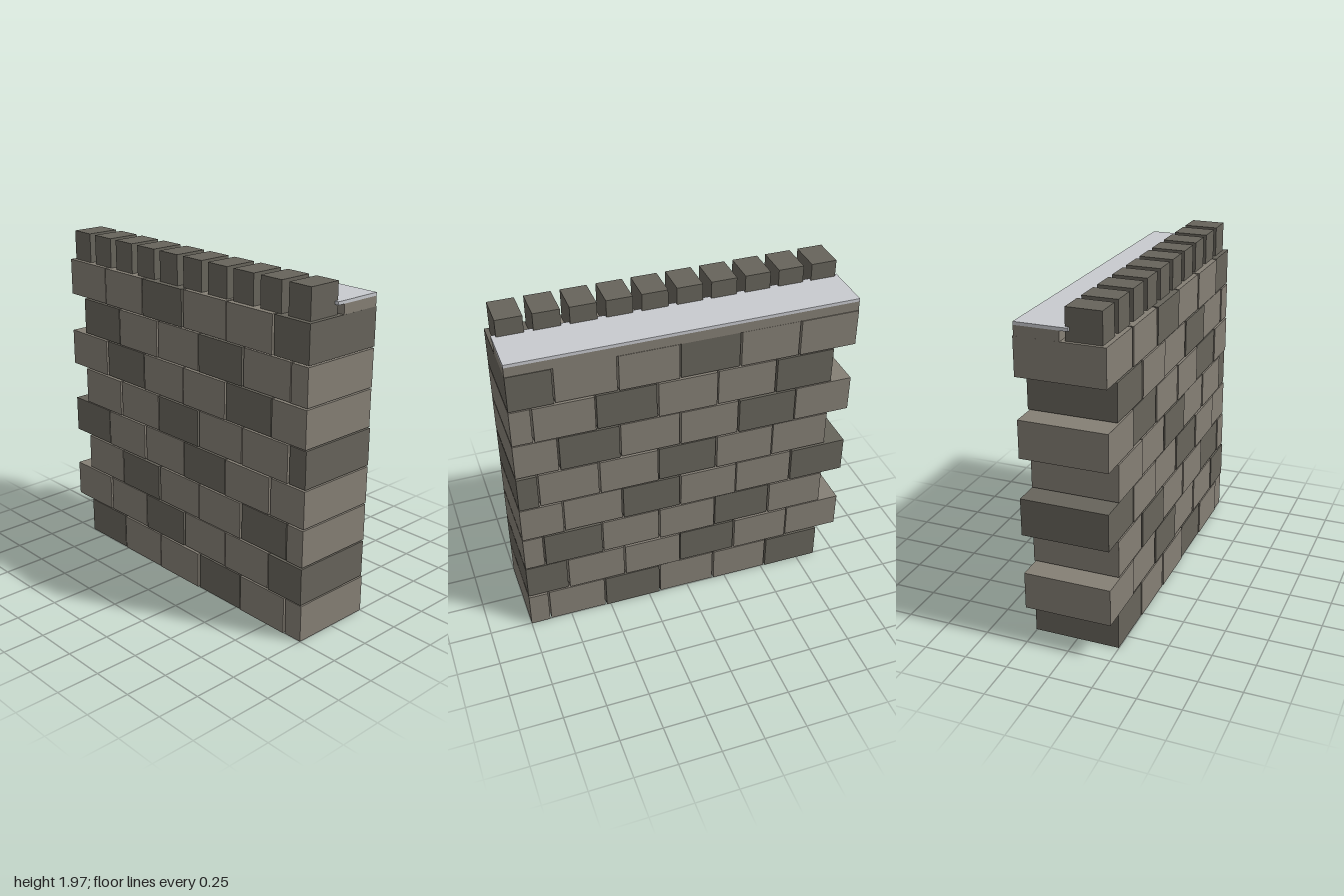
import * as THREE from 'three';

const LIGHT = new THREE.MeshStandardMaterial({ color: 0x857f75 });
const DARK = new THREE.MeshStandardMaterial({ color: 0x67645b });
const SLAB = new THREE.MeshStandardMaterial({ color: 0xc8cacf });

// Box given by its low and high corners
function block(name, material, [x0, y0, z0], [x1, y1, z1]) {
  const mesh = new THREE.Mesh(new THREE.BoxGeometry(x1 - x0, y1 - y0, z1 - z0), material);
  mesh.position.set((x0 + x1) / 2, (y0 + y1) / 2, (z0 + z1) / 2);
  mesh.name = name;
  return mesh;
}

export function createModel() {
  const wall = new THREE.Group();
  wall.name = 'battlementWall';

  // Running-bond courses, toothed on the right end and cut flush on the left
  const rows = 8, pitchY = 0.2257, height = 0.217, pitchX = 0.351, length = 0.341;
  for (let row = 0; row < rows; row++) {
    const course = new THREE.Group();
    course.name = `course${row + 1}`;
    const start = row % 2 ? -1 : -0.87;
    const y = row * pitchY;
    for (let col = 0; col < 6; col++) {
      const x = start + col * pitchX;
      // Slight unevenness in depth from stone to stone
      const shift = (((row * 5 + col * 3) % 7) - 3) * 0.0013;
      const material = (row + col) % 3 === 0 ? DARK : LIGHT;
      course.add(block('stone', material,
        [x, y, -0.251 + shift], [Math.min(x + length, 1), y + height, 0.252 + shift]));
    }
    wall.add(course);
  }

  // Rear ledge carrying the walkway slab
  wall.add(block('walkwayLedge', LIGHT, [-1, 1.797, -0.25], [1, 1.854, 0]));
  wall.add(block('walkwaySlab', SLAB, [-1, 1.854, -0.25], [1, 1.872, 0.046]));

  // Row of merlons along the front
  const merlons = new THREE.Group();
  merlons.name = 'merlons';
  for (let i = 0; i < 10; i++) {
    const x = -0.98 + i * 0.2006;
    merlons.add(block('merlon', DARK, [x, 1.797, 0.023], [x + 0.15, 1.973, 0.222]));
  }
  wall.add(merlons);

  return wall;
}
